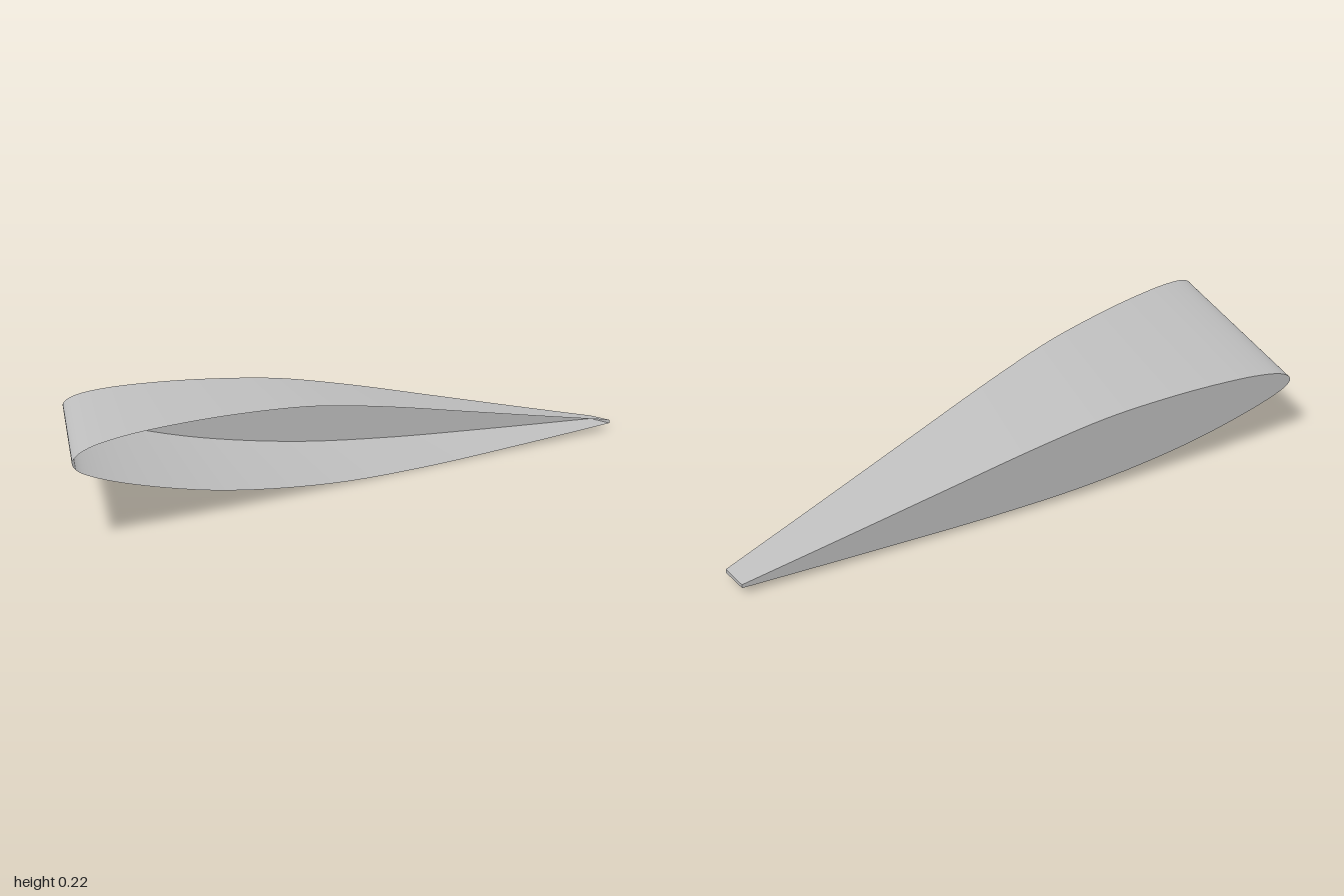
import * as THREE from 'three';

// Airfoil outline: chord fraction and height, upper tail -> nose -> lower tail
const OUTLINE = [
  [1, 0.029], [0.835, 0.077], [0.67, 0.126], [0.5, 0.176], [0.37, 0.206],
  [0.246, 0.2165], [0.152, 0.2165], [0.073, 0.21], [0.025, 0.198], [0.006, 0.185],
  [0, 0.172], [0.006, 0.157], [0.025, 0.141], [0.088, 0.108], [0.22, 0.06],
  [0.4, 0.025], [0.575, 0.0145], [0.78, 0.0155], [1, 0.02],
];
const STEPS = 96;

// Tapered, open-rooted wing section with a slanted closed tip
export function createModel() {
  const group = new THREE.Group();
  const grey = new THREE.MeshStandardMaterial({ color: 0xbfbfbf, side: THREE.DoubleSide });
  grey.name = 'wing grey';

  const curve = new THREE.CatmullRomCurve3(OUTLINE.map(([s, y]) => new THREE.Vector3(s, y, 0)), false, 'centripetal');
  const profile = curve.getPoints(STEPS);

  // The tip runs along a slanted plane; the root is slightly thicker
  const tip = profile.map(({ x: s, y }) => new THREE.Vector3(-0.545 + 1.545 * s, y, -0.325 + 0.565 * s));
  const root = profile.map(({ x: s, y }) => {
    const chord = 0.172 - 0.1475 * s;
    const grow = y > chord ? 1.07 : 1.155;
    return new THREE.Vector3(-1 + 1.975 * s, chord + (y - chord) * grow, 0.325);
  });

  const add = (name, geometry) => {
    geometry.computeVertexNormals();
    const mesh = new THREE.Mesh(geometry, grey);
    mesh.name = name;
    group.add(mesh);
  };

  // Ruled surface between two rows of points
  const ruled = (a, b) => {
    const index = [];
    const n = a.length;
    for (let i = 0; i < n - 1; i++) index.push(i, n + i, i + 1, i + 1, n + i, n + i + 1);
    return new THREE.BufferGeometry().setFromPoints([...a, ...b]).setIndex(index);
  };
  add('wingSkin', ruled(root, tip));

  // Thin blunt strip along the trailing edge
  add('trailingEdge', ruled([root[STEPS], root[0]], [tip[STEPS], tip[0]]));

  // Flat tip cap, laid onto the slanted plane
  const cap = new THREE.ShapeGeometry(new THREE.Shape(tip.map((p) => new THREE.Vector2(p.x, p.y))));
  const pos = cap.attributes.position;
  for (let i = 0; i < pos.count; i++) pos.setZ(i, -0.325 + (0.565 * (pos.getX(i) + 0.545)) / 1.545);
  add('tipCap', cap);

  return group;
}
